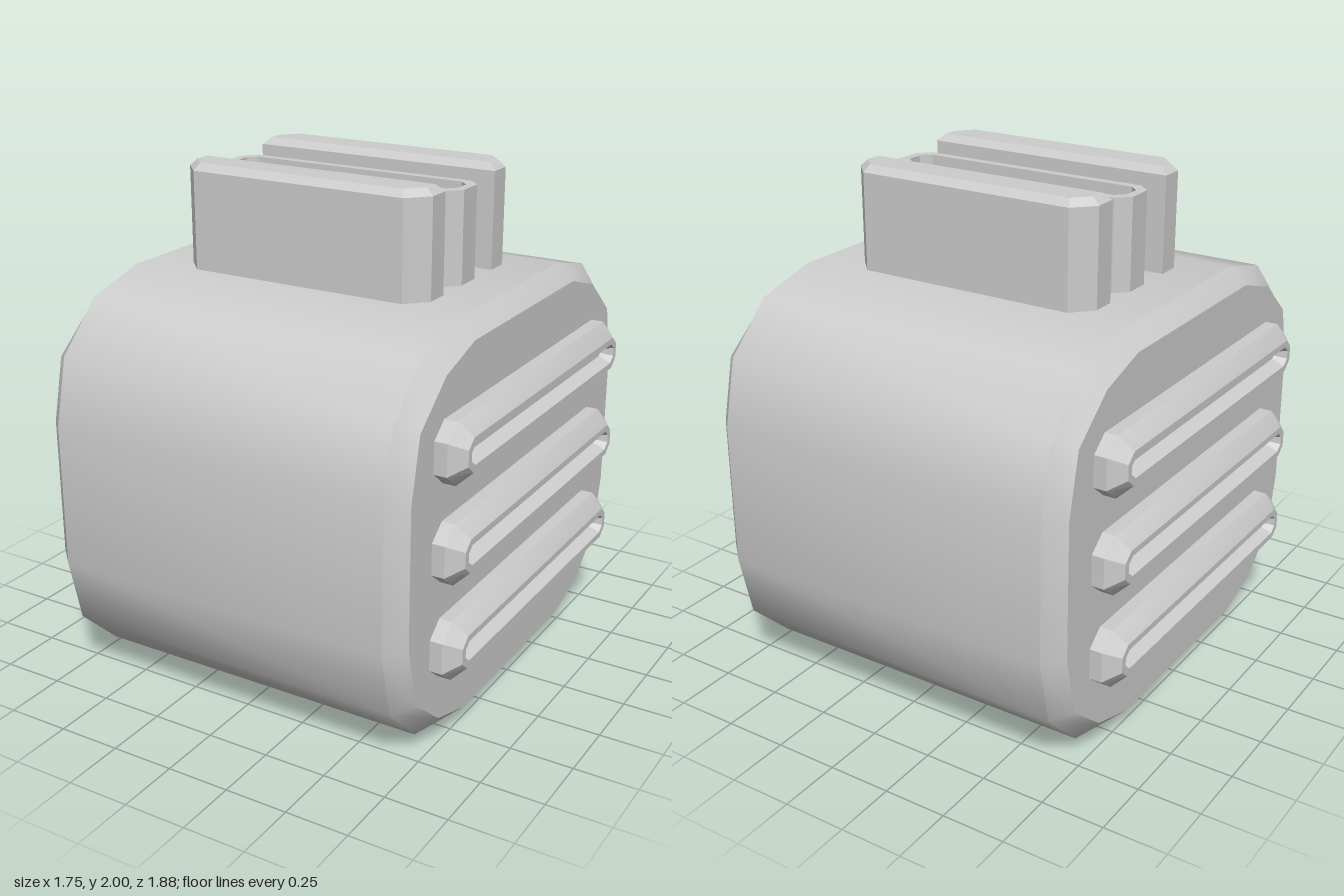
import * as THREE from 'three';
import { toCreasedNormals } from 'three/addons/utils/BufferGeometryUtils.js';

// Skin a list of { pts, h } convex rings (counter-clockwise) along +z, with flat end caps
function loft(rings, crease) {
  const pos = [];
  const put = (r, i) => {
    const p = r.pts[i % r.pts.length];
    pos.push(p[0], p[1], r.h);
  };
  const n = rings[0].pts.length;
  for (let k = 0; k < rings.length - 1; k++) {
    const a = rings[k], b = rings[k + 1];
    for (let i = 0; i < n; i++) {
      put(a, i); put(a, i + 1); put(b, i + 1);
      put(a, i); put(b, i + 1); put(b, i);
    }
  }
  const first = rings[0], last = rings[rings.length - 1];
  for (let i = 1; i < n - 1; i++) {
    put(first, 0); put(first, i + 1); put(first, i);
    put(last, 0); put(last, i); put(last, i + 1);
  }
  const g = new THREE.BufferGeometry();
  g.setAttribute('position', new THREE.Float32BufferAttribute(pos, 3));
  g.computeVertexNormals();
  return toCreasedNormals(g, crease);
}

// Mirror one quadrant of points (from the +u side up to the +v side) into a full ring
function mirrorQuadrant(quad) {
  const half = [...quad, ...quad.map(([u, v]) => [-u, v]).reverse()];
  return [...half, ...half.map(([u, v]) => [-u, -v])];
}

// Long bar outline with chamfered corners
const slot = (u, v, cu, cv) => mirrorQuadrant([[u, v - cv], [u - cu, v]]);

export function createModel() {
  const group = new THREE.Group();
  const grey = new THREE.MeshStandardMaterial({ color: 0xcccccc });
  grey.name = 'grey';
  const add = (name, geometry) => {
    const mesh = new THREE.Mesh(geometry, grey);
    mesh.name = name;
    group.add(mesh);
    return mesh;
  };

  // Rounded body running across x, with bevelled rims
  const outer = mirrorQuadrant([[0.94, 0.285], [0.88, 0.545], [0.69, 0.73], [0.43, 0.795]]);
  const inner = mirrorQuadrant([[0.875, 0.27], [0.82, 0.515], [0.64, 0.665], [0.43, 0.73]]);
  const body = add('body', loft([
    { pts: inner, h: -0.77 }, { pts: outer, h: -0.7 },
    { pts: outer, h: 0.7 }, { pts: inner, h: 0.77 },
  ], 0.6));
  body.rotation.y = Math.PI / 2;
  body.position.y = 0.795;

  // Three grooved ribs on each side
  const ribGeometry = loft([
    { pts: slot(0.72, 0.118, 0.07, 0.057), h: 0.76 },
    { pts: slot(0.72, 0.118, 0.07, 0.057), h: 0.82 },
    { pts: slot(0.668, 0.065, 0.04, 0.035), h: 0.875 },
    { pts: slot(0.643, 0.04, 0.028, 0.023), h: 0.875 },
    { pts: slot(0.625, 0.018, 0.015, 0.01), h: 0.825 },
  ], 0.5);
  for (const side of [1, -1]) {
    for (const y of [0.43, 0.81, 1.19]) {
      const rib = add(side > 0 ? 'leftRib' : 'rightRib', ribGeometry);
      rib.rotation.y = side * Math.PI / 2;
      rib.position.y = y;
    }
  }

  // Outer blades: flat inside, chamfered outside
  const blade = [[-0.525, -0.2], [-0.525, -0.295], [-0.45, -0.375],
    [0.45, -0.375], [0.525, -0.295], [0.525, -0.2]];
  const bladeTop = [[-0.495, -0.225], [-0.495, -0.285], [-0.438, -0.348],
    [0.438, -0.348], [0.495, -0.285], [0.495, -0.225]];
  const bladeGeometry = loft([
    { pts: blade, h: 1.57 }, { pts: blade, h: 1.973 }, { pts: bladeTop, h: 2 },
  ], 0.4).rotateX(-Math.PI / 2);
  add('frontBlade', bladeGeometry);
  add('backBlade', bladeGeometry).rotation.y = Math.PI;

  // Hollow middle blade
  const wall = slot(0.525, 0.103, 0.05, 0.05);
  const hollow = slot(0.49, 0.068, 0.036, 0.036);
  add('middleBlade', loft([
    { pts: wall, h: 1.57 }, { pts: wall, h: 1.95 },
    { pts: hollow, h: 1.95 }, { pts: hollow, h: 1.6 },
  ], 0.4).rotateX(-Math.PI / 2));

  return group;
}
